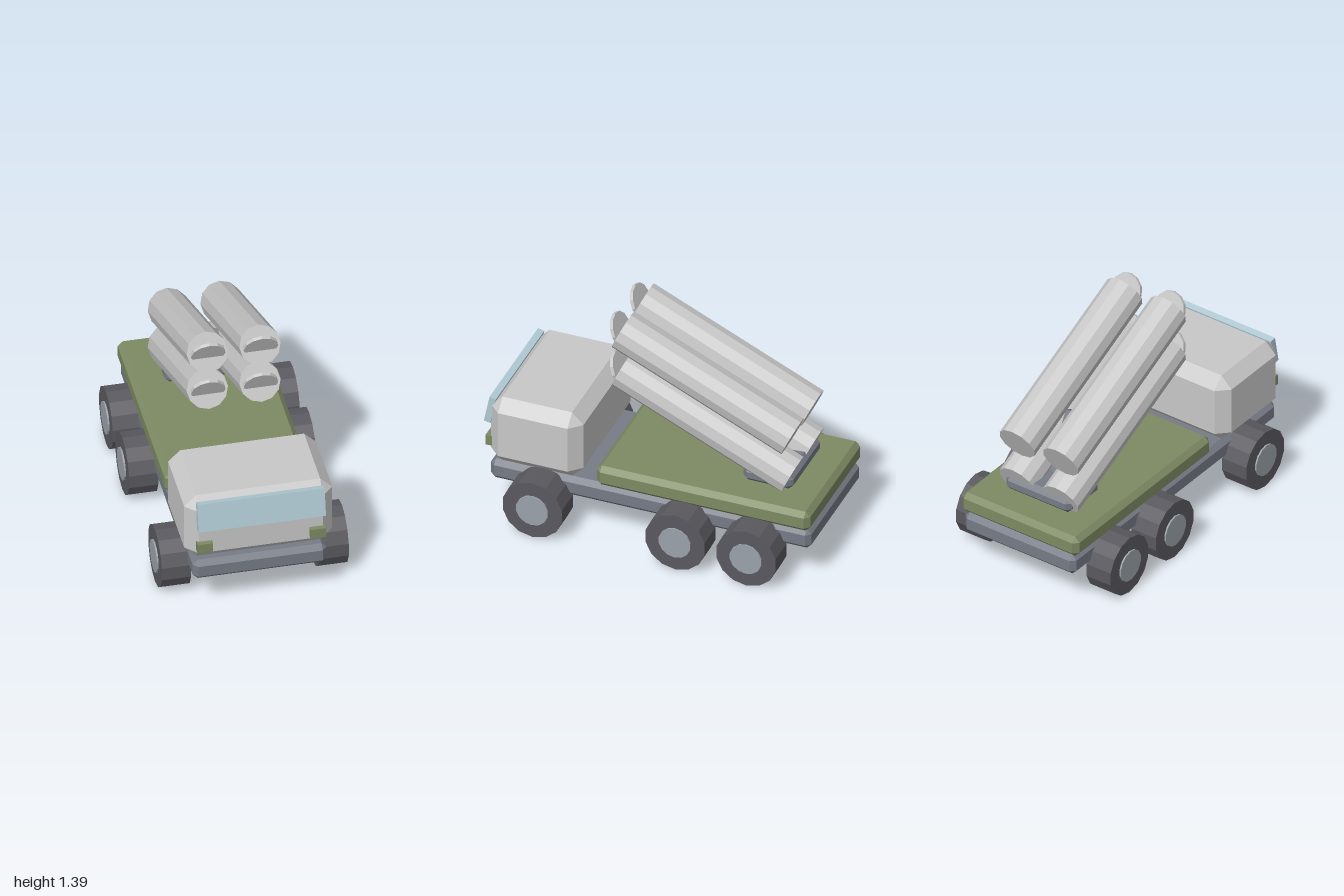
import * as THREE from 'three';
import { ConvexGeometry } from 'three/addons/geometries/ConvexGeometry.js';

const material = (name, color) => {
  const m = new THREE.MeshStandardMaterial({ color, flatShading: true });
  m.name = name;
  return m;
};

// Box with every edge chamfered by b
function chamferBox(w, h, d, b) {
  const pts = [];
  for (const sx of [-1, 1]) for (const sy of [-1, 1]) for (const sz of [-1, 1]) {
    for (let axis = 0; axis < 3; axis++) {
      const inset = [b, b, b];
      inset[axis] = 0;
      pts.push(new THREE.Vector3(
        sx * (w / 2 - inset[0]), sy * (h / 2 - inset[1]), sz * (d / 2 - inset[2])));
    }
  }
  return new ConvexGeometry(pts);
}

export function createModel() {
  const model = new THREE.Group();
  model.name = 'launcherTruck';

  const paleGrey = material('paleGrey', 0xc8c8c8);
  const olive = material('olive', 0x7d8a63);
  const steel = material('steelGrey', 0x767b86);
  const rubber = material('rubber', 0x5a595f);
  const hubGrey = material('hubGrey', 0x9aa2aa);
  const glass = material('glass', 0xb0cad4);

  const add = (name, geometry, mat, x, y, z, parent = model) => {
    const mesh = new THREE.Mesh(geometry, mat);
    mesh.name = name;
    mesh.position.set(x, y, z);
    parent.add(mesh);
    return mesh;
  };

  // Body
  add('chassis', chamferBox(0.78, 0.13, 1.96, 0.03), steel, 0, 0.285, -0.02);
  add('deck', chamferBox(0.82, 0.13, 1.305, 0.03), olive, 0, 0.415, -0.3475);
  add('cab', chamferBox(0.86, 0.435, 0.565, 0.07), paleGrey, 0, 0.567, 0.6775);
  add('windscreen', new THREE.BoxGeometry(0.74, 0.175, 0.04), glass, 0, 0.68, 0.963)
    .rotation.x = -0.2;
  for (const side of [-1, 1]) {
    add('headlight', new THREE.BoxGeometry(0.09, 0.063, 0.04), olive, side * 0.328, 0.47, 0.97);
  }

  // Wheels, with a vertex at the bottom
  const wheelPart = (r, width) =>
    new THREE.CylinderGeometry(r, r, width, 14).rotateY(Math.PI / 2).rotateZ(Math.PI / 2);
  const tyreGeo = wheelPart(0.185, 0.17);
  const hubGeo = wheelPart(0.098, 0.19);
  for (const z of [0.634, -0.238, -0.672]) {
    for (const side of [-1, 1]) {
      const wheel = new THREE.Group();
      wheel.name = 'wheel';
      wheel.position.set(side * 0.458, 0.185, z);
      add('tyre', tyreGeo, rubber, 0, 0, 0, wheel);
      add('hub', hubGeo, hubGrey, 0, 0, 0, wheel);
      model.add(wheel);
    }
  }

  // Launcher mount
  add('mountBase', chamferBox(0.46, 0.1, 0.305, 0.03), steel, 0, 0.53, -0.673);
  add('mountPost', new THREE.BoxGeometry(0.12, 0.45, 0.088), steel, 0, 0.678, -0.53)
    .rotation.x = Math.PI / 6;

  // Four raised tubes, each with a tilted lid at its mouth
  const tilt = 0.428;
  const tubeGeo = new THREE.CylinderGeometry(0.12, 0.12, 1.14, 12).rotateX(Math.PI / 2);
  const lidGeo = new THREE.CylinderGeometry(0.1, 0.1, 0.02, 12).rotateX(Math.PI / 2);
  for (const x of [-0.153, 0.153]) {
    for (const y of [0.784, 1.046]) {
      add('launchTube', tubeGeo, paleGrey, x, y, -0.281).rotation.x = -tilt;
      add('tubeLid', lidGeo, paleGrey, x, y + 0.239, 0.2535).rotation.x = 0.39;
    }
  }

  return model;
}
